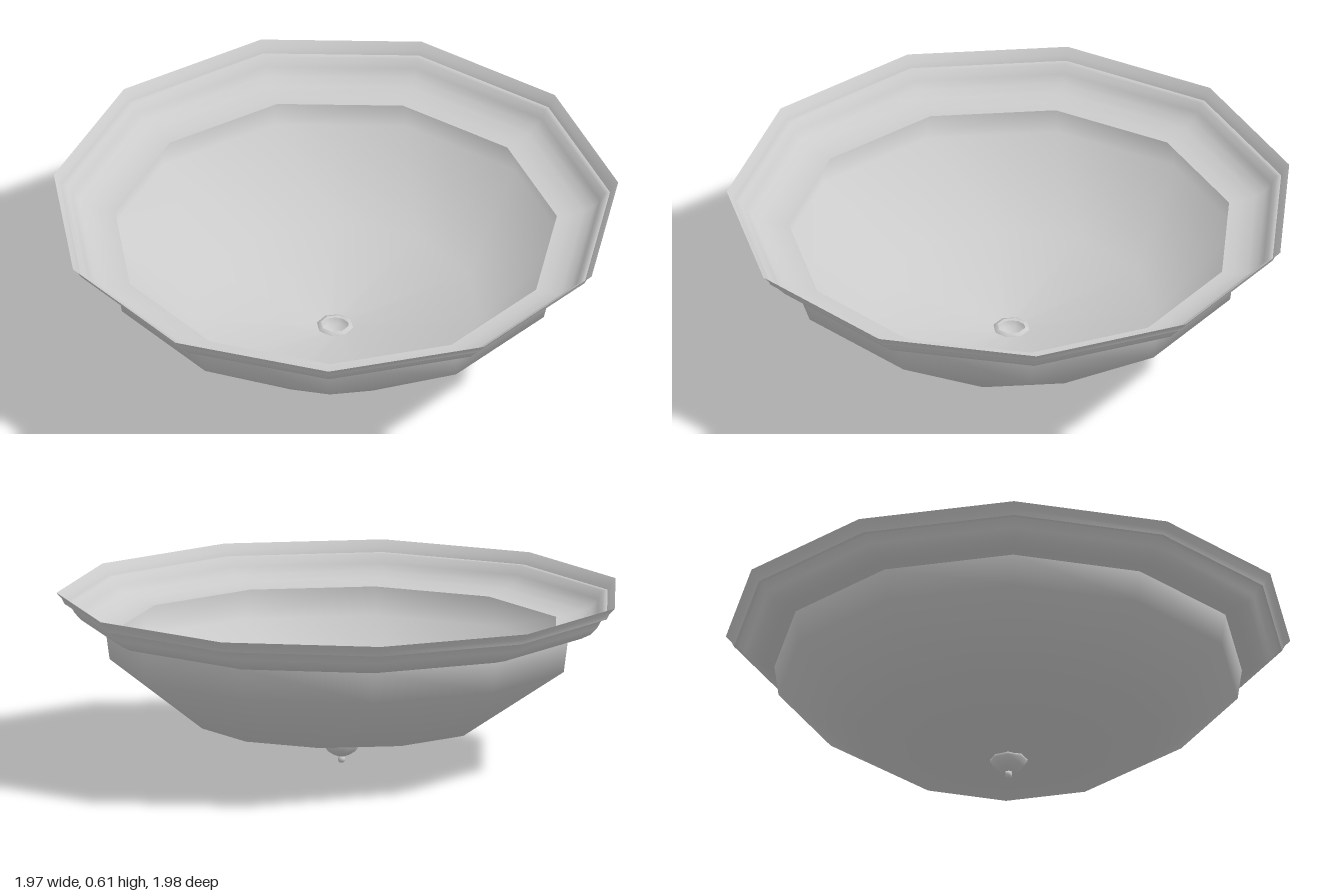
import * as THREE from 'three';

const SIDES = 11;
const STEP = (Math.PI * 2) / SIDES;
const PHASE = -1.541; // turn of the eleven-sided outline
const UP = new THREE.Vector3(0, 1, 0);

const material = new THREE.MeshStandardMaterial({ color: 0xcccccc, side: THREE.DoubleSide });

// Turned part from [radius, height] pairs, listed bottom to top
function turned(name, profile, sides, phase) {
  const points = profile.map(([r, y]) => new THREE.Vector2(r, y));
  const mesh = new THREE.Mesh(new THREE.LatheGeometry(points, sides, phase), material);
  mesh.name = name;
  return mesh;
}

// Shade: the lower rings sit half a side round from the upper ones
function shade() {
  const mesh = turned('glassShade', [[0.05, 0.07], [0.51, 0.15], [0.815, 0.37], [0.83, 0.48]], SIDES, PHASE);
  const { position, normal } = mesh.geometry.attributes;
  const v = new THREE.Vector3();
  for (let i = 0; i < position.count; i++) {
    if (position.getY(i) > 0.2) continue;
    for (const attribute of [position, normal]) {
      v.fromBufferAttribute(attribute, i).applyAxisAngle(UP, -STEP / 2);
      attribute.setXYZ(i, v.x, v.y, v.z);
    }
  }
  return mesh;
}

export function createModel() {
  const group = new THREE.Group();
  group.name = 'ceilingLamp';

  // Stepped rim: inner flange and cove, then the flared lip
  group.add(turned('rimCove', [[0.785, 0.48], [0.83, 0.48], [0.88, 0.493], [0.915, 0.51], [0.938, 0.535], [0.955, 0.565], [0.973, 0.567]], SIDES, PHASE));
  group.add(turned('rimLip', [[0.973, 0.567], [0.982, 0.585], [1.002, 0.607]], SIDES, PHASE));

  group.add(shade());

  // Finial cap with a small bead below
  group.add(turned('finialCap', [[0.012, 0.024], [0.03, 0.031], [0.052, 0.045], [0.066, 0.064], [0.065, 0.074], [0.05, 0.08]], 8, Math.PI / 8));
  const bead = new THREE.Mesh(new THREE.SphereGeometry(0.013, 8, 6), material);
  bead.name = 'finialBead';
  bead.position.y = 0.013;
  group.add(bead);

  // Centre the odd-sided outline
  for (const part of group.children) part.position.x = 0.01;
  return group;
}
